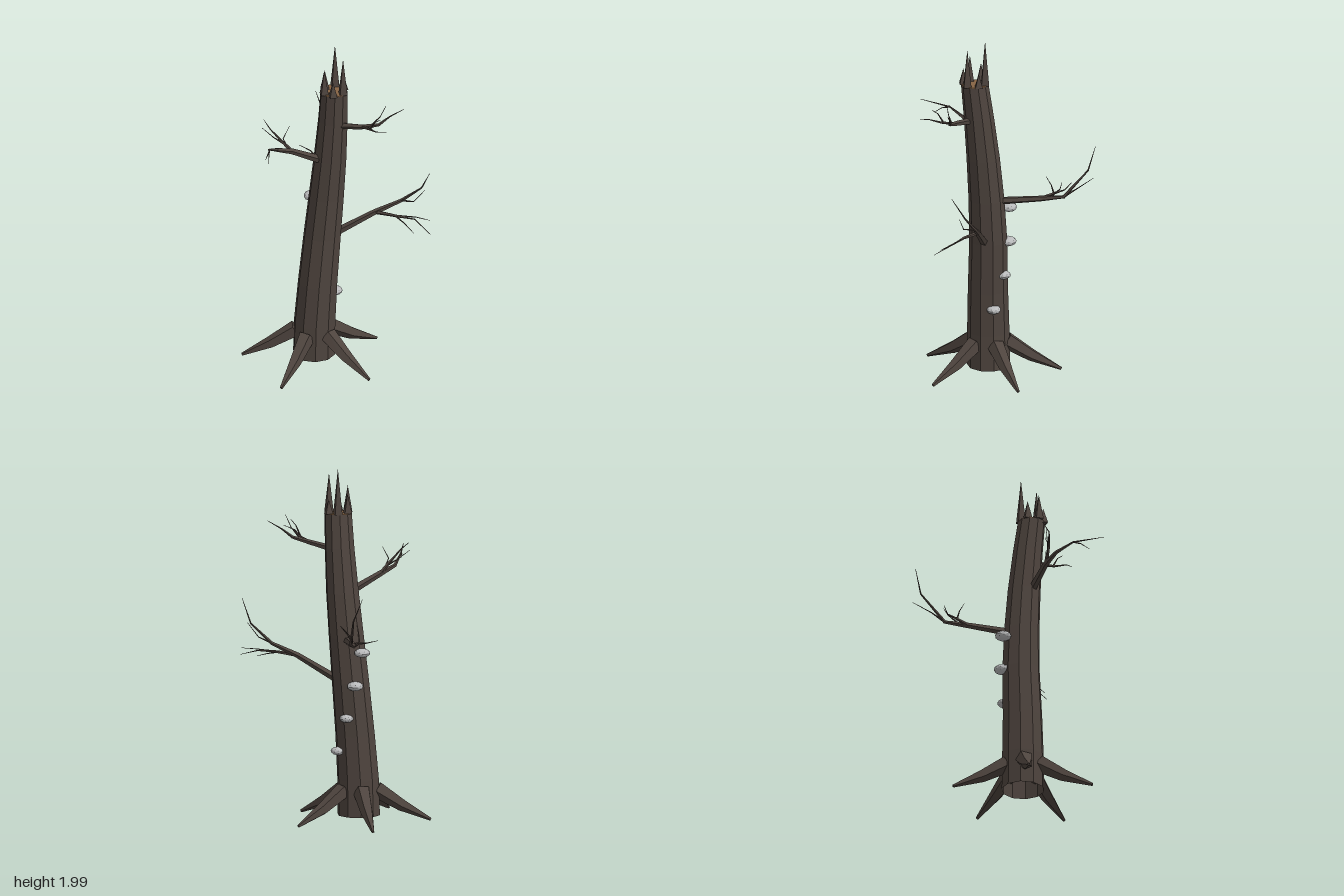
import * as THREE from 'three';

const bark = new THREE.MeshStandardMaterial({ color: 0x4e443e, flatShading: true, side: THREE.DoubleSide });
bark.name = 'dark bark';
const wood = new THREE.MeshStandardMaterial({ color: 0x866444, flatShading: true });
wood.name = 'bare wood';
const fungus = new THREE.MeshStandardMaterial({ color: 0xb9babb, flatShading: true });
fungus.name = 'pale fungus';

const UP = new THREE.Vector3(0, 1, 0);

// Tapered tube through a few points; upright keeps every ring level
function loft(points, radii, sides, { upright = false, capped = true } = {}) {
  const pts = points.map((p) => new THREE.Vector3(...p));
  const last = pts.length - 1;
  const pos = [];
  const idx = [];
  pts.forEach((p, i) => {
    const dir = pts[Math.min(i + 1, last)].clone().sub(pts[Math.max(i - 1, 0)]).normalize();
    const q = new THREE.Quaternion();
    if (!upright) q.setFromUnitVectors(UP, dir);
    for (let j = 0; j < sides; j++) {
      const a = (j / sides) * Math.PI * 2;
      const v = new THREE.Vector3(Math.sin(a), 0, Math.cos(a)).multiplyScalar(radii[i]);
      pos.push(...v.applyQuaternion(q).add(p).toArray());
    }
  });
  for (let i = 0; i < last; i++) {
    for (let j = 0; j < sides; j++) {
      const k = (j + 1) % sides;
      const a = i * sides + j, b = i * sides + k;
      idx.push(a, b, b + sides, a, b + sides, a + sides);
    }
  }
  if (capped) {
    for (let j = 1; j < sides - 1; j++) {
      const t = last * sides;
      idx.push(0, j + 1, j, t, t + j, t + j + 1);
    }
  }
  const geo = new THREE.BufferGeometry();
  geo.setAttribute('position', new THREE.Float32BufferAttribute(pos, 3));
  geo.setIndex(idx);
  geo.computeVertexNormals();
  return geo;
}

function add(parent, name, geo, mat) {
  const mesh = new THREE.Mesh(geo, mat);
  mesh.name = name;
  parent.add(mesh);
  return mesh;
}

// Branch with side limbs: each limb is [start radius, points]
const BRANCHES = {
  lowerRightBranch: [
    [0.023, [[-0.05, 0.81, -0.02], [0.14, 0.945, -0.13], [0.26, 1.015, -0.21], [0.38, 1.12, -0.235], [0.455, 1.25, -0.2]]],
    [0.012, [[0.14, 0.945, -0.13], [0.28, 0.955, -0.14], [0.38, 0.955, -0.16], [0.51, 0.915, -0.12]]],
    [0.006, [[0.26, 0.955, -0.14], [0.34, 0.935, -0.12], [0.42, 0.91, -0.09]]],
    [0.006, [[0.27, 0.955, -0.14], [0.38, 0.965, -0.17], [0.47, 0.965, -0.18]]],
    [0.006, [[0.26, 1.015, -0.21], [0.35, 1.04, -0.2], [0.41, 1.12, -0.22]]],
  ],
  upperRightBranch: [
    [0.02, [[0.0, 1.53, 0.035], [0.15, 1.56, 0.02], [0.24, 1.585, -0.01], [0.29, 1.635, -0.05], [0.355, 1.68, -0.09]]],
    [0.01, [[0.15, 1.56, 0.02], [0.23, 1.58, 0.055], [0.29, 1.605, 0.1], [0.365, 1.625, 0.1]]],
    [0.006, [[0.2, 1.575, 0.01], [0.25, 1.64, -0.01], [0.28, 1.71, -0.02]]],
    [0.006, [[0.22, 1.575, 0.05], [0.26, 1.64, 0.06], [0.3, 1.67, 0.07]]],
  ],
  frontBranch: [
    [0.024, [[-0.08, 1.29, 0.05], [-0.2, 1.385, 0.2], [-0.245, 1.42, 0.285], [-0.23, 1.47, 0.38], [-0.16, 1.5, 0.535]]],
    [0.012, [[-0.2, 1.385, 0.2], [-0.25, 1.46, 0.24], [-0.3, 1.525, 0.265], [-0.355, 1.565, 0.25]]],
    [0.006, [[-0.23, 1.43, 0.225], [-0.29, 1.47, 0.25], [-0.35, 1.52, 0.27]]],
    [0.006, [[-0.22, 1.41, 0.215], [-0.235, 1.47, 0.235], [-0.215, 1.54, 0.2]]],
    [0.006, [[-0.235, 1.47, 0.38], [-0.21, 1.46, 0.42], [-0.19, 1.43, 0.46]]],
  ],
  backBranch: [
    [0.023, [[-0.11, 1.04, -0.03], [-0.28, 1.055, -0.235], [-0.33, 1.08, -0.36], [-0.41, 1.24, -0.47], [-0.47, 1.37, -0.475]]],
    [0.012, [[-0.28, 1.055, -0.235], [-0.34, 1.08, -0.28], [-0.4, 1.09, -0.31], [-0.47, 1.11, -0.3]]],
    [0.007, [[-0.33, 1.08, -0.36], [-0.375, 1.13, -0.42], [-0.37, 1.22, -0.54]]],
    [0.006, [[-0.3, 1.06, -0.28], [-0.31, 1.13, -0.35], [-0.28, 1.19, -0.39]]],
    [0.006, [[-0.34, 1.08, -0.28], [-0.33, 1.13, -0.27], [-0.31, 1.18, -0.25]]],
  ],
};

export function createModel() {
  const tree = new THREE.Group();
  tree.name = 'deadTree';

  // Leaning trunk, open underneath
  add(tree, 'trunk', loft(
    [[-0.156, 0.045, 0.038], [-0.152, 0.25, 0.037], [-0.138, 0.5, 0.028], [-0.119, 0.8, 0.01],
      [-0.096, 1.05, 0.004], [-0.07, 1.3, 0.006], [-0.045, 1.55, 0.017], [-0.028, 1.74, 0.032]],
    [0.12, 0.118, 0.112, 0.106, 0.1, 0.093, 0.084, 0.077], 10, { upright: true, capped: false }), bark);

  // Exposed wood at the break
  const cut = add(tree, 'brokenTop', new THREE.CylinderGeometry(0.075, 0.075, 0.009, 10), wood);
  cut.position.set(-0.028, 1.739, 0.032);

  // Splinters around the break: x, z, tip height
  [[-0.055, -0.02, 2.0], [0.002, -0.022, 1.82], [0.033, 0.035, 1.96],
    [0.002, 0.09, 1.83], [-0.056, 0.09, 1.89], [-0.086, 0.035, 1.85]].forEach(([x, z, top]) => {
    const h = top - 1.74;
    const splinter = add(tree, 'splinter', new THREE.ConeGeometry(0.03, h, 4), bark);
    splinter.position.set(x, 1.74 + h / 2, z);
  });

  // Roots spreading from the foot of the trunk to their tips
  [[0.025, -0.325], [-0.42, -0.268], [-0.505, 0.235], [-0.115, 0.445], [0.25, 0.105]].forEach(([x, z]) => {
    const dx = x + 0.155, dz = z - 0.038, len = Math.hypot(dx, dz);
    const at = (d, y) => [-0.155 + (dx / len) * d, y, 0.038 + (dz / len) * d];
    add(tree, 'root', loft([at(0.1, 0.19), at(0.24, 0.1), at(len, 0.018)], [0.05, 0.036, 0.009], 5), bark);
  });

  // Bare branches with thinning twigs
  for (const [name, limbs] of Object.entries(BRANCHES)) {
    const branch = new THREE.Group();
    branch.name = name;
    limbs.forEach(([r, pts], n) => {
      const radii = pts.map((_, i) => Math.max(r * (1 - i / (pts.length - 1)) ** 1.15, 0.0012));
      add(branch, n ? 'twig' : 'limb', loft(pts, radii, 5), bark);
    });
    tree.add(branch);
  }

  // Shelf fungi climbing the back: x, y, z, radius
  [[-0.08, 0.413, -0.062, 0.041], [-0.145, 0.605, -0.08, 0.04],
    [-0.195, 0.79, -0.072, 0.046], [-0.228, 0.978, -0.05, 0.045]].forEach(([x, y, z, r], i) => {
    const shelf = add(tree, 'shelfFungus', new THREE.IcosahedronGeometry(r, 1), fungus);
    shelf.position.set(x, y, z);
    shelf.scale.y = 0.58;
    shelf.rotation.y = i * 0.9;
  });

  return tree;
}
